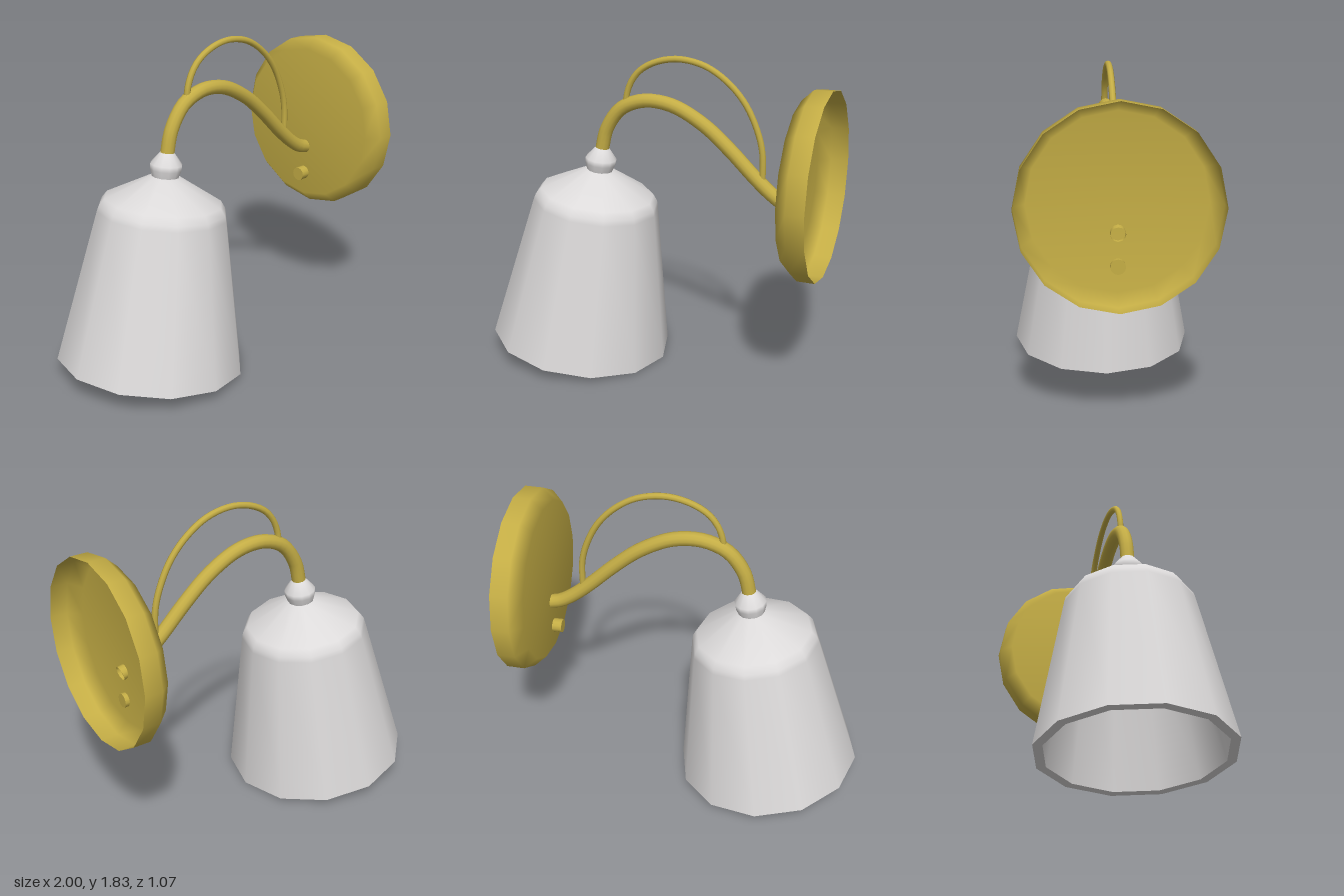
import * as THREE from 'three';

const brass = new THREE.MeshStandardMaterial({ color: 0xc4ad45, side: THREE.DoubleSide });
brass.name = 'brass';
const paleGrey = new THREE.MeshStandardMaterial({ color: 0xdcdada });
paleGrey.name = 'pale grey';

function add(parent, name, geometry, material) {
  const mesh = new THREE.Mesh(geometry, material);
  mesh.name = name;
  parent.add(mesh);
  return mesh;
}

const points = (list) => list.map(([x, y]) => new THREE.Vector2(x, y));
const lathe = (profile, sides) => new THREE.LatheGeometry(points(profile), sides);

function tube(path, radius, sides) {
  const curve = new THREE.CatmullRomCurve3(path.map(([x, y]) => new THREE.Vector3(x, y, 0)));
  return new THREE.TubeGeometry(curve, 40, radius, sides, false);
}

export function createModel() {
  const lamp = new THREE.Group();
  lamp.name = 'wallLamp';

  // Hollow wall plate, open towards the wall
  const plate = add(lamp, 'wallPlate', lathe([[0.522, -1], [0.522, -0.9], [0.46, -0.835], [0, -0.835]], 16), brass);
  plate.rotation.z = Math.PI / 2;
  plate.position.y = 1.19;
  plate.scale.y = -1;
  plate.scale.y = 1;

  // Switch knob through the plate
  const knob = add(lamp, 'switchKnob', new THREE.CylinderGeometry(0.04, 0.04, 0.08, 12), brass);
  knob.rotation.z = Math.PI / 2;
  knob.position.set(0.82, 0.868, 0);

  // Main curved arm and the thin decorative loop above it
  add(lamp, 'arm', tube([
    [-0.322, 1.24], [-0.285, 1.39], [-0.2, 1.51], [-0.1, 1.56], [0, 1.573], [0.13, 1.55],
    [0.3, 1.46], [0.45, 1.335], [0.6, 1.19], [0.7, 1.105], [0.78, 1.055], [0.86, 1.035],
  ], 0.04, 12), brass);
  add(lamp, 'upperLoop', tube([
    [-0.167, 1.54], [-0.163, 1.59], [-0.135, 1.67], [-0.08, 1.74], [0.02, 1.795], [0.15, 1.818],
    [0.3, 1.79], [0.43, 1.71], [0.53, 1.6], [0.6, 1.46], [0.632, 1.34], [0.638, 1.16],
  ], 0.018, 8), brass);

  // Tilted shade and socket share one axis
  const head = new THREE.Group();
  head.name = 'lampHead';
  head.position.set(-0.47, 0.0725, 0);
  head.rotation.z = -0.127;
  lamp.add(head);

  add(head, 'shadeOuter', lathe([[0.534, 0], [0.366, 0.87], [0.358, 0.9], [0.33, 0.94], [0.085, 1.075], [0, 1.08]], 12), paleGrey);
  add(head, 'shadeInner', lathe([[0, 1.03], [0.08, 1.025], [0.3, 0.9], [0.325, 0.86], [0.482, 0]], 12), paleGrey);
  add(head, 'shadeRim', lathe([[0.482, 0], [0.534, 0]], 12), paleGrey);
  add(head, 'socket', lathe([[0.07, 1.06], [0.088, 1.115], [0.09, 1.145], [0.04, 1.21], [0, 1.21]], 12), paleGrey);

  return lamp;
}
